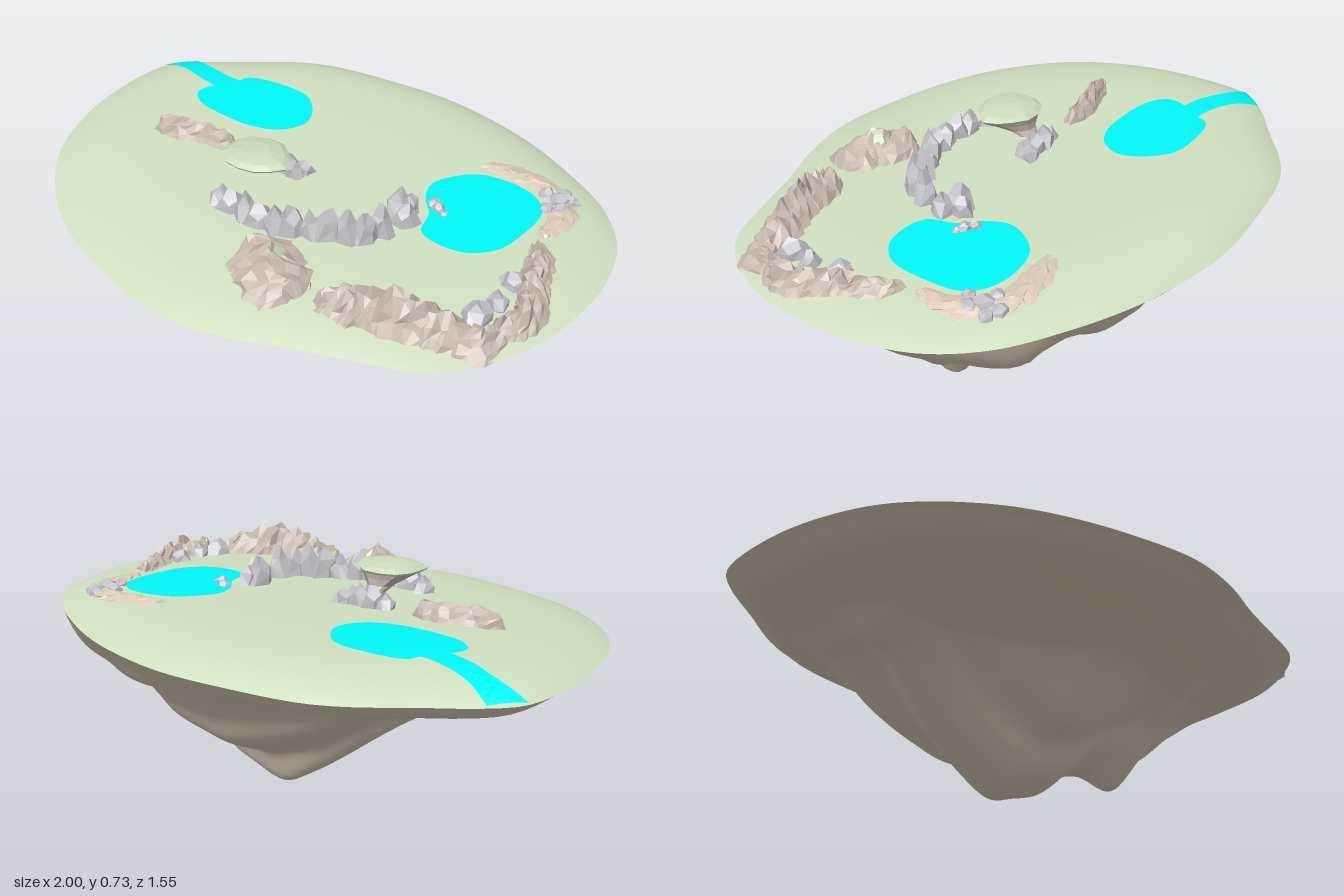
import * as THREE from 'three';

const mat = (color, flat = true) =>
  new THREE.MeshStandardMaterial({ color, flatShading: flat, side: THREE.DoubleSide });
const GRASS = mat(0xd0dfc0, false), EARTH = mat(0xd0c4b0, false), WATER = mat(0x00f8f8, false);
const SAND = mat(0xdccbb8), GREY = mat(0xc2c2c8), BROWN = mat(0xc8baaf), MOSS = mat(0xccdbbc);

// Small seeded generator
function seeded(s) {
  return () => {
    s = (s * 16807 + 11) % 2147483647;
    return s / 2147483647;
  };
}
const gauss = x => Math.exp(-x * x);
const clamp01 = x => Math.min(1, Math.max(0, x));

// Smooth lookup through [x, y] points
function lookup(pts, x) {
  const last = pts.length - 1;
  if (x <= pts[0][0]) return pts[0][1];
  if (x >= pts[last][0]) return pts[last][1];
  const i = pts.findIndex(p => p[0] > x);
  const slope = k => {
    const a = pts[Math.max(0, k - 1)], b = pts[Math.min(last, k + 1)];
    return (b[1] - a[1]) / (b[0] - a[0]);
  };
  const [x0, y0] = pts[i - 1], [x1, y1] = pts[i], w = x1 - x0, t = (x - x0) / w;
  const s = t * t * (3 - 2 * t);
  return y0 + (y1 - y0) * s + w * t * (1 - t) * ((1 - t) * slope(i - 1) - t * slope(i));
}

// Surface from rows of points; fn(i, j) returns [x, y, z]
function grid(rows, cols, closed, fn) {
  const pos = [], idx = [], w = closed ? cols : cols + 1;
  for (let i = 0; i <= rows; i++) for (let j = 0; j < w; j++) pos.push(...fn(i, j));
  for (let i = 0; i < rows; i++) for (let j = 0; j < cols; j++) {
    const a = i * w + j, b = i * w + (j + 1) % w;
    idx.push(a, b, a + w, b, b + w, a + w);
  }
  const g = new THREE.BufferGeometry();
  g.setAttribute('position', new THREE.Float32BufferAttribute(pos, 3));
  g.setIndex(idx);
  g.computeVertexNormals();
  return g;
}
const smoothPath = (pts, closed) =>
  new THREE.CatmullRomCurve3(pts.map(([x, z]) => new THREE.Vector3(x, 0, z)), closed);

// Island outline (x, z), turned into radius by angle
const RIM = smoothPath([[1, 0], [0.97, 0.24], [0.87, 0.43], [0.77, 0.53], [0.6, 0.595], [0.4, 0.66], [0.2, 0.735],
  [0, 0.77], [-0.2, 0.745], [-0.45, 0.67], [-0.65, 0.56], [-0.85, 0.36], [-0.95, 0.15], [-1, -0.1], [-0.985, -0.33],
  [-0.91, -0.425], [-0.76, -0.54], [-0.61, -0.655], [-0.485, -0.715], [-0.25, -0.757], [0, -0.775], [0.22, -0.745],
  [0.4, -0.695], [0.6, -0.605], [0.8, -0.48], [0.93, -0.32], [0.99, -0.13]], true);
const TAU = Math.PI * 2;
const angleOf = (x, z) => (Math.atan2(z, x) + TAU) % TAU;
const RADII = RIM.getPoints(260).slice(0, -1).map(p => [angleOf(p.x, p.z), Math.hypot(p.x, p.z)])
  .sort((a, b) => a[0] - b[0]);
RADII.push([TAU, RADII[0][1]]);
const radius = a => lookup(RADII, a);
const rimY = a => 0.543 - 0.037 * Math.max(0, Math.sin(a)) ** 1.5 - 0.006 * Math.cos(a);

// Height of the meadow, rounding over more sharply at the back and sides
function topY(x, z) {
  const a = angleOf(x, z), t = Math.min(1, Math.hypot(x, z) / radius(a));
  const plane = 0.594 - 0.024 * z - 0.014 * x;
  return rimY(a) + (plane - rimY(a)) * (1 - t ** (8 - 3 * Math.max(0, Math.sin(a))));
}

// Underside: a shallow shelf below the rim, and a hanging body shaped along x and along z
const SHELF = [[0, 0.36], [0.5, 0.405], [0.7, 0.44], [0.8, 0.46], [0.93, 0.487], [1, 0.53]];
const ALONG_X = [[-1, 0.54], [-0.9, 0.49], [-0.8, 0.46], [-0.7, 0.44], [-0.6, 0.37], [-0.5, 0.34], [-0.4, 0.28],
  [-0.2, 0.13], [-0.08, 0.05], [0.02, 0], [0.12, 0.025], [0.24, 0.07], [0.31, 0.14], [0.4, 0.165], [0.5, 0.13],
  [0.55, 0.15], [0.6, 0.23], [0.7, 0.3], [0.8, 0.39], [0.9, 0.46], [1, 0.54]];
const ALONG_Z = [[-0.77, 0.52], [-0.65, 0.43], [-0.6, 0.38], [-0.55, 0.32], [-0.5, 0.24], [-0.4, 0.18],
  [-0.28, 0.12], [-0.24, 0.03], [-0.2, 0], [-0.1, 0.04], [-0.05, 0.08], [0, 0.16], [0.1, 0.21], [0.2, 0.3],
  [0.3, 0.38], [0.4, 0.41], [0.6, 0.46], [0.77, 0.5]];
function bottomY(a, t) {
  const x = Math.cos(a) * t * radius(a), z = Math.sin(a) * t * radius(a);
  const front = clamp01((z + 0.1) / 0.3), back = clamp01((-0.3 - z) / 0.3);
  // buttresses in front and behind, with hollows beside them
  const hollow = 1 - 0.45 * front * (1 - gauss((x - 0.12) / 0.22)) - 0.15 * back * (1 - gauss(x / 0.4));
  const dx = hollow * (0.55 - lookup(ALONG_X, x - 0.08 * front * gauss((x - 0.1) / 0.4)));
  const dz = 0.55 - lookup(ALONG_Z, z - 0.08 * gauss((x - 0.5) / 0.15) - 0.1 * gauss((x + 0.55) / 0.2));
  const body = 0.55 - 0.25 * Math.min(dx, dz) - 0.75 * dx * dz / 0.55;
  const y = Math.min(body, lookup(SHELF, t));
  return Math.min(topY(x, z), y + (rimY(a) - y) * t ** 24);
}

// Flat sheet draped on the meadow inside an outline
function pool(cx, cz, outline) {
  const pts = smoothPath(outline, true).getPoints(60);
  return grid(6, 60, true, (i, j) => {
    const x = cx + (pts[j].x - cx) * i / 6, z = cz + (pts[j].z - cz) * i / 6;
    return [x, topY(x, z) + 0.004, z];
  });
}

// Jagged ridge following a path; heights are given evenly along it
function ridge(path, width, heights, n, seed, rough = 0.5) {
  const rnd = seeded(seed), curve = smoothPath(path, false), m = 8;
  const hs = heights.map((h, i) => [i / (heights.length - 1), h]);
  return grid(n, m, false, (i, j) => {
    const u = i / n, p = curve.getPointAt(u), d = curve.getTangentAt(u), s = j / m * 2 - 1;
    const taper = Math.min(1, 0.35 + 4 * Math.min(u, 1 - u));
    const off = width * taper * (s + (rnd() - 0.5) * 0.3), along = (rnd() - 0.5) * 0.02;
    const x = p.x - d.z * off + d.x * along, z = p.z + d.x * off + d.z * along;
    const rise = (i === 0 || i === n) ? 0
      : lookup(hs, u) * (1 - Math.abs(s) ** 1.4) * (1 - rough / 2 + rough * (rnd() - 0.2));
    return [x, topY(x, z) - 0.006 + rise, z];
  });
}

// Faceted boulder standing on the meadow
function boulder(x, z, w, h, d, seed) {
  const g = new THREE.DodecahedronGeometry(1, 0), p = g.attributes.position;
  for (let i = 0; i < p.count; i++) {
    const v = new THREE.Vector3().fromBufferAttribute(p, i);
    const k = 1 + 0.22 * Math.sin(v.x * 5.1 + seed * 2.3) * Math.cos(v.z * 4.3 + v.y * 3 + seed);
    const narrow = 1.05 - 0.35 * Math.max(0, v.y);
    p.setXYZ(i, v.x * w * k * narrow, Math.max(-0.3, v.y) * h * (0.6 + 0.4 * k), v.z * d * k * narrow);
  }
  g.rotateY(seed * 1.7);
  g.translate(x, topY(x, z), z);
  g.computeVertexNormals();
  return g;
}

// Overhanging rock profile, irregular around and leaning back toward its foot
function overhang(pts) {
  const g = new THREE.LatheGeometry(pts.map(([r, y]) => new THREE.Vector2(r, y)), 13), p = g.attributes.position;
  for (let i = 0; i < p.count; i++) {
    const a = Math.atan2(p.getZ(i), p.getX(i)), k = 1 + 0.06 * Math.sin(3 * a + 1) + 0.04 * Math.cos(5 * a);
    p.setX(i, p.getX(i) * k);
    p.setZ(i, p.getZ(i) * k * 0.84 + 1.3 * Math.min(0, p.getY(i) - 0.695));
  }
  g.translate(-0.145, 0, 0.138);
  g.computeVertexNormals();
  return g;
}

export function createModel() {
  const model = new THREE.Group();
  const add = (name, geo, material, parent = model) => {
    const mesh = new THREE.Mesh(geo, material);
    mesh.name = name;
    parent.add(mesh);
  };
  const boulders = (name, list) => {
    const group = new THREE.Group();
    group.name = name;
    list.forEach(([x, z, w, h, d = w], i) => add('boulder', boulder(x, z, w, h, d, i + list.length), GREY, group));
    model.add(group);
  };

  // Island body
  const N = 160, M = 64;
  const ring = (j, t) => {
    const a = j / N * TAU, r = radius(a) * t;
    return [a, Math.cos(a) * r, Math.sin(a) * r];
  };
  add('meadow', grid(M, N, true, (i, j) => {
    const [, x, z] = ring(j, i / M);
    return [x, topY(x, z), z];
  }), GRASS);
  add('underside', grid(M, N, true, (i, j) => {
    const t = 1 - i / M, [a, x, z] = ring(j, t);
    return [x, Math.max(0, bottomY(a, t)), z];
  }), EARTH);

  // Ponds and the stream running off the edge
  add('leftPond', pool(-0.45, -0.25, [[-0.62, -0.31], [-0.6, -0.37], [-0.47, -0.4], [-0.35, -0.39], [-0.27, -0.32],
    [-0.24, -0.24], [-0.28, -0.16], [-0.36, -0.12], [-0.46, -0.11], [-0.62, -0.13], [-0.68, -0.18], [-0.67, -0.24]]), WATER);
  add('rightPond', pool(0.51, -0.15, [[0.36, -0.29], [0.42, -0.34], [0.53, -0.36], [0.62, -0.34], [0.68, -0.28],
    [0.69, -0.12], [0.67, -0.02], [0.6, 0.05], [0.5, 0.065], [0.43, 0.04], [0.4, -0.05], [0.34, -0.12], [0.315, -0.2]]), WATER);
  const bankA = smoothPath([[-0.91, -0.42], [-0.8, -0.37], [-0.67, -0.335], [-0.58, -0.33]]).getPoints(24);
  const bankB = smoothPath([[-0.985, -0.325], [-0.86, -0.305], [-0.74, -0.265], [-0.6, -0.24]]).getPoints(24);
  add('stream', grid(24, 6, false, (i, j) => {
    const p = bankA[i].clone().lerp(bankB[i], j / 6);
    return [p.x, topY(p.x, p.z) + 0.005, p.z];
  }), WATER);

  // Sandy bank behind the right pond
  add('sandBank', ridge([[0.38, -0.39], [0.47, -0.42], [0.58, -0.425], [0.68, -0.39], [0.74, -0.3], [0.74, -0.16]],
    0.06, [0.018, 0.02, 0.022, 0.022, 0.018], 26, 5, 0.3), SAND);

  // Brown ridges
  add('leftRidge', ridge([[-0.65, 0.075], [-0.55, 0.06], [-0.45, 0.03], [-0.33, 0.025]], 0.04,
    [0.06, 0.07, 0.07, 0.06], 12, 9, 0.35), BROWN);
  add('frontRidge', ridge([[0.36, 0.5], [0.48, 0.45], [0.6, 0.43], [0.72, 0.39], [0.83, 0.36], [0.88, 0.28]], 0.075,
    [0.05, 0.09, 0.115, 0.1, 0.06, 0.05], 28, 21, 0.6), BROWN);
  add('rightRidge', ridge([[0.85, 0.32], [0.9, 0.18], [0.84, 0.05], [0.81, -0.04], [0.75, -0.14]], 0.055,
    [0.06, 0.08, 0.07, 0.05, 0.03], 24, 33, 0.6), BROWN);
  add('mound', ridge([[0.04, 0.4], [0.13, 0.44], [0.2, 0.49], [0.31, 0.52]], 0.115,
    [0.06, 0.085, 0.075, 0.04], 12, 41, 0.4), BROWN);
  add('moundMoss', boulder(0.165, 0.46, 0.065, 0.095, 0.055, 3), MOSS);

  // Curved row of standing stones, growing toward the pond
  const arc = smoothPath([[-0.18, 0.28], [-0.08, 0.3], [0.02, 0.3], [0.12, 0.275], [0.2, 0.23], [0.3, 0.19], [0.335, 0.12]]);
  const stones = [];
  for (let i = 0; i < 11; i++) {
    const p = arc.getPointAt(i / 10);
    stones.push([p.x, p.z, 0.044 + 0.006 * (i % 2), 0.06 + 0.005 * i + 0.01 * (i % 3), 0.04]);
  }
  boulders('stoneRow', [...stones, [0.32, 0, 0.05, 0.1], [0.365, 0.03, 0.042, 0.08], [0.34, -0.03, 0.037, 0.07]]);

  // Loose stones
  boulders('pondStones', [[0.38, -0.11, 0.025, 0.025], [0.41, -0.09, 0.025, 0.03], [0.435, -0.08, 0.018, 0.02]]);
  boulders('bankStones', [[0.64, -0.38, 0.03, 0.03], [0.68, -0.42, 0.03, 0.025], [0.685, -0.37, 0.04, 0.035],
    [0.72, -0.34, 0.03, 0.03], [0.68, -0.31, 0.025, 0.025], [0.72, -0.4, 0.028, 0.03]]);
  boulders('ridgeStones', [[0.78, 0.27, 0.06, 0.06, 0.05], [0.79, 0.08, 0.045, 0.045], [0.8, 0.19, 0.035, 0.055]]);
  boulders('stalkStones', [[-0.215, 0.025, 0.035, 0.055], [-0.17, 0.015, 0.042, 0.075], [-0.12, 0.015, 0.042, 0.07],
    [-0.065, -0.005, 0.034, 0.05], [-0.08, 0.025, 0.035, 0.06]]);

  // Overhanging rock with a grassy cap
  add('rockStalk', overhang([[0.04, 0.58], [0.035, 0.635], [0.05, 0.655], [0.085, 0.678], [0.115, 0.695]]), BROWN);
  add('rockCap', overhang([[0.115, 0.695], [0.122, 0.703], [0.1, 0.715], [0.05, 0.724], [0, 0.726]]), MOSS);
  return model;
}
